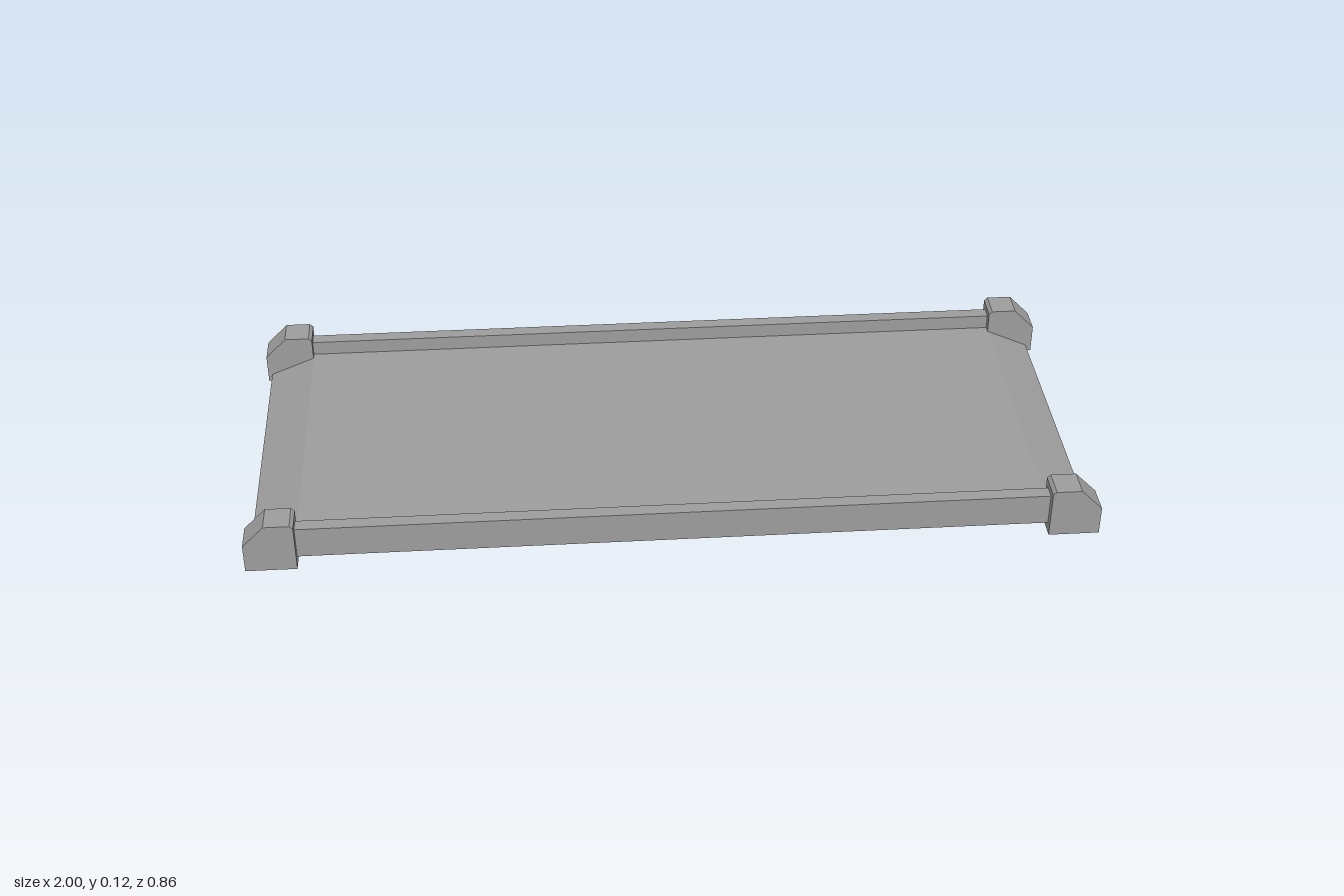
import * as THREE from 'three';

const material = new THREE.MeshStandardMaterial({ color: 0x9c9c9c, flatShading: true });

// Extrudes an x/y outline between two z values.
function slab(name, points, z0, z1) {
  const shape = new THREE.Shape(points.map(([x, y]) => new THREE.Vector2(x, y)));
  const geometry = new THREE.ExtrudeGeometry(shape, { depth: z1 - z0, bevelEnabled: false });
  geometry.translate(0, 0, z0);
  const mesh = new THREE.Mesh(geometry, material);
  mesh.name = name;
  return mesh;
}

export function createModel() {
  const group = new THREE.Group();
  group.name = 'lowPlatform';

  // Deck with a short ramp at each end
  const deck = slab('deck', [
    [-0.99, 0.005], [0.985, 0.005], [0.985, 0.019], [0.88, 0.064],
    [-0.88, 0.064], [-0.99, 0.019],
  ], -0.378, 0.378);
  group.add(deck);

  // The lip of the left ramp rises slightly towards the front
  const p = deck.geometry.attributes.position;
  for (let i = 0; i < p.count; i++) {
    if (p.getX(i) > 0.9 && p.getY(i) > 0.01) p.setY(i, 0.019 + 0.008 * p.getZ(i));
  }
  deck.geometry.computeVertexNormals();

  for (const front of [1, -1]) {
    const side = front > 0 ? 'front' : 'back';

    // Side rail between the corner posts
    const rail = new THREE.Mesh(new THREE.BoxGeometry(1.8, 0.078, 0.033), material);
    rail.position.set(0, 0.061, front * 0.3925);
    rail.name = side + 'Rail';
    group.add(rail);

    // Corner posts, bevelled on the outer top edge
    for (const s of [1, -1]) {
      const outline = [
        [0.88, 0], [1, 0], [1, 0.071], [0.948, 0.124], [0.888, 0.124], [0.88, 0.116],
      ].map(([x, y]) => [s * x, y]);
      const z = front * 0.3925;
      group.add(slab(side + (s > 0 ? 'Left' : 'Right') + 'Post', outline, z - 0.035, z + 0.035));
    }
  }
  return group;
}
